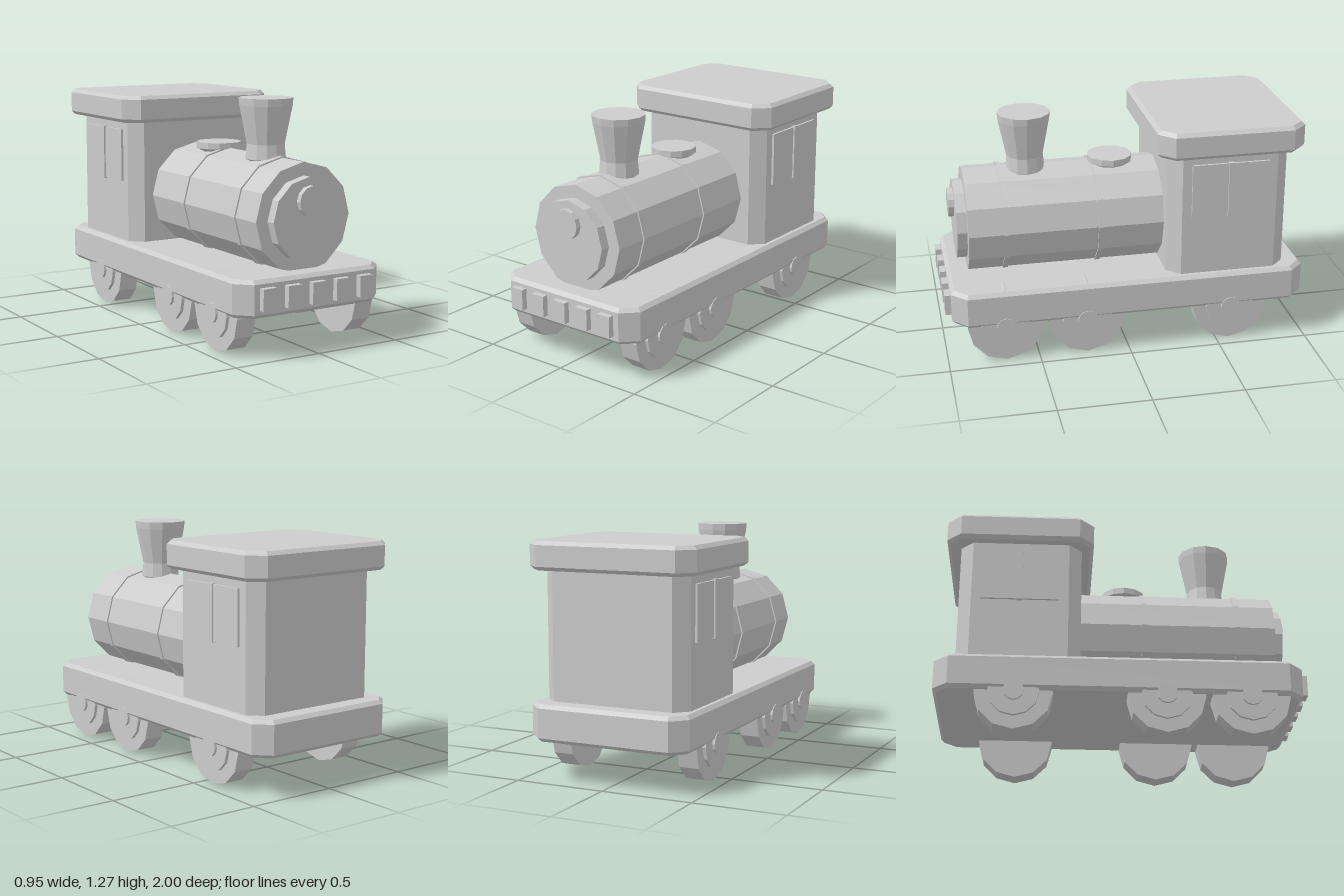
import * as THREE from 'three';

const grey = new THREE.MeshStandardMaterial({ color: 0xcccccc, flatShading: true });
grey.name = 'light grey';
const SIDES = 12;

export function createModel() {
  const model = new THREE.Group();
  model.name = 'steamEngine';

  function add(name, geometry, x = 0, y = 0, z = 0, parent = model) {
    const mesh = new THREE.Mesh(geometry, grey);
    mesh.name = name;
    mesh.position.set(x, y, z);
    parent.add(mesh);
    return mesh;
  }

  // Upright block with cut corners and optional bevelled top and bottom rims
  function cutBlock(name, halfX, zBack, zFront, y0, y1, cut, bevel) {
    const h = (zFront - zBack) / 2;
    const shape = new THREE.Shape([
      [halfX - cut, -h], [halfX, -h + cut], [halfX, h - cut], [halfX - cut, h],
      [-halfX + cut, h], [-halfX, h - cut], [-halfX, -h + cut], [-halfX + cut, -h],
    ].map(([x, y]) => new THREE.Vector2(x, y)));
    const geometry = new THREE.ExtrudeGeometry(shape, {
      depth: y1 - y0 - 2 * bevel,
      bevelEnabled: bevel > 0,
      bevelThickness: bevel,
      bevelSize: bevel,
      bevelOffset: -bevel,
      bevelSegments: 1,
    });
    geometry.rotateX(-Math.PI / 2);
    return add(name, geometry, 0, y0 + bevel, (zBack + zFront) / 2);
  }

  // Cylinder lying along z
  function drumZ(name, radius, z0, z1, y) {
    const geometry = new THREE.CylinderGeometry(radius, radius, z1 - z0, SIDES);
    geometry.rotateX(Math.PI / 2);
    return add(name, geometry, 0, y, (z0 + z1) / 2);
  }

  // Chassis, cab and roof
  cutBlock('chassis', 0.453, -1, 0.967, 0.217, 0.414, 0.08, 0.02);
  cutBlock('cab', 0.412, -0.89, -0.222, 0.4, 1.12, 0.07, 0);
  cutBlock('roof', 0.475, -0.967, -0.156, 1.1, 1.251, 0.08, 0.02);

  // Front bumper blocks
  for (let i = -2; i <= 2; i++) {
    add('bumperBlock', new THREE.BoxGeometry(0.08, 0.115, 0.06), i * 0.15, 0.317, 0.97);
  }

  // Boiler with two bands, smokebox door and headlamp
  drumZ('boiler', 0.29, -0.25, 0.85, 0.68);
  for (const z of [0.645, 0.127]) drumZ('boilerBand', 0.298, z - 0.014, z + 0.014, 0.68);
  drumZ('smokeboxDoor', 0.22, 0.84, 0.905, 0.68);
  drumZ('headlamp', 0.08, 0.89, 0.935, 0.777);

  // Flared chimney
  const chimney = [[0, 0.9], [0.095, 0.94], [0.108, 0.95], [0.101, 1.03], [0.142, 1.235], [0.145, 1.274], [0, 1.274]];
  add('chimney', new THREE.LatheGeometry(chimney.map(([r, y]) => new THREE.Vector2(r, y)), SIDES), 0, 0, 0.5);

  // Steam dome
  const dome = [[0, 0.93], [0.09, 0.942], [0.125, 0.962], [0.125, 0.997], [0, 0.997]];
  add('steamDome', new THREE.LatheGeometry(dome.map(([r, y]) => new THREE.Vector2(r, y)), SIDES), 0, 0, 0.027);

  for (const side of [1, -1]) {
    // Side window with its centre bar
    add('windowPane', new THREE.BoxGeometry(0.03, 0.296, 0.426), side * 0.41, 0.903, -0.557);
    add('windowBar', new THREE.BoxGeometry(0.04, 0.306, 0.028), side * 0.414, 0.903, -0.557);

    // Wheels stepped outwards: tyre, disc and hub
    for (const z of [0.682, 0.234, -0.572]) {
      const wheel = new THREE.Group();
      wheel.name = 'wheel';
      wheel.position.set(0, 0.208, z);
      model.add(wheel);
      const steps = [['tyre', 0.208, 0.314, 0.425], ['wheelDisc', 0.136, 0.4, 0.443], ['wheelHub', 0.055, 0.42, 0.457]];
      for (const [name, r, x0, x1] of steps) {
        const geometry = new THREE.CylinderGeometry(r, r, x1 - x0, SIDES);
        geometry.rotateZ(Math.PI / 2);
        add(name, geometry, side * (x0 + x1) / 2, 0, 0, wheel);
      }
    }
  }
  return model;
}
